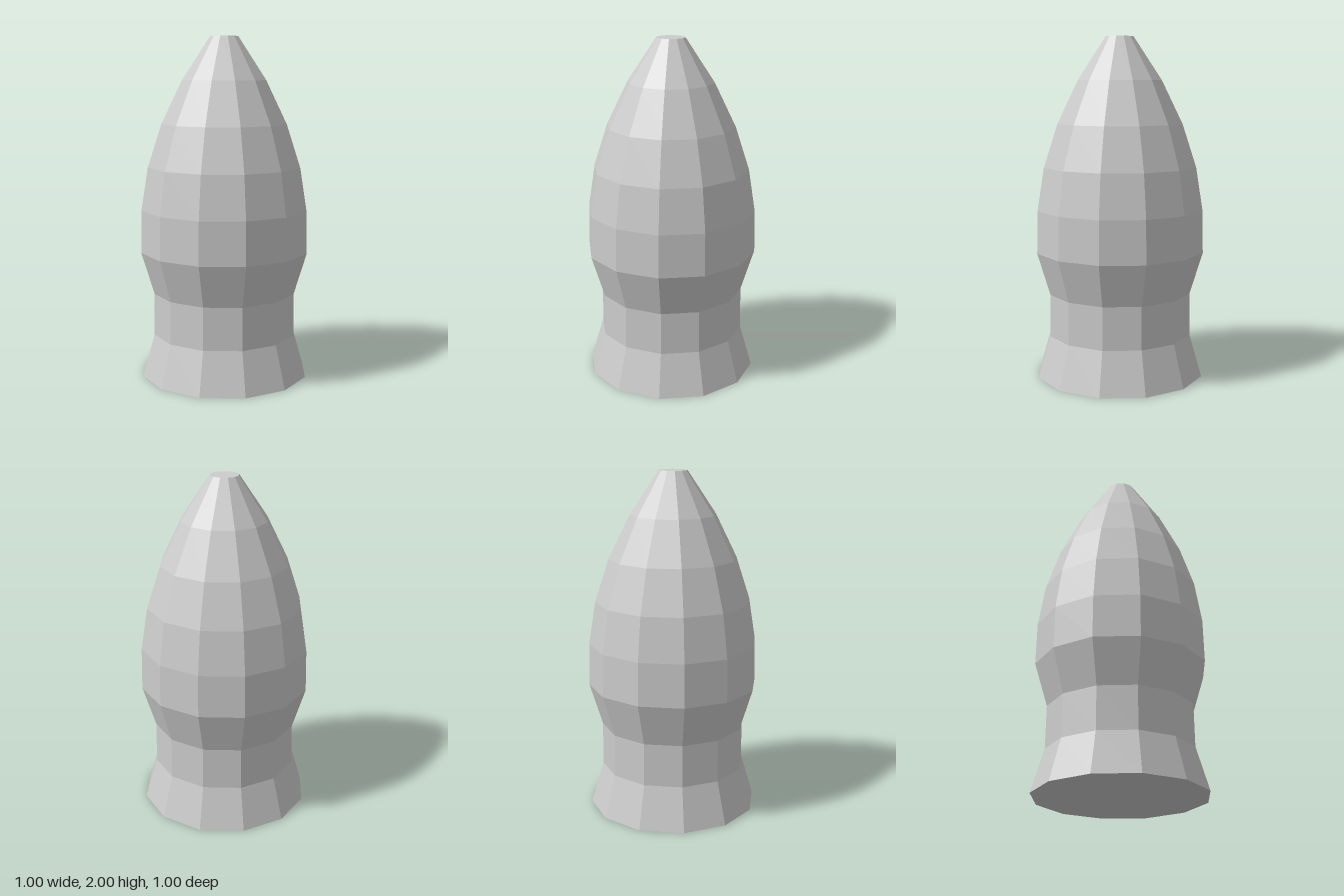
import * as THREE from 'three';

export function createModel() {
  const group = new THREE.Group();
  const sides = 12;

  // Ring radii, evenly spaced in height from the flared base to the blunt tip
  const radii = [0.5, 0.427, 0.424, 0.5, 0.495, 0.455, 0.373, 0.25, 0.083];
  const step = 2 / (radii.length - 1);
  const profile = radii.map((r, i) => new THREE.Vector2(r, i * step));

  const material = new THREE.MeshStandardMaterial({ color: 0xcccccc, flatShading: true });

  // Faceted body: flared foot, narrow waist and ogive nose
  const bodyGeometry = new THREE.LatheGeometry(profile, sides).toNonIndexed();
  bodyGeometry.computeVertexNormals();
  const body = new THREE.Mesh(bodyGeometry, material);
  body.name = 'body';
  group.add(body);

  // Flat caps closing the two ends
  const addCap = (name, radius, y, tilt) => {
    const cap = new THREE.Mesh(new THREE.CircleGeometry(radius, sides), material);
    cap.name = name;
    cap.rotation.x = tilt;
    cap.position.y = y;
    group.add(cap);
  };
  addCap('baseCap', radii[0], 0, Math.PI / 2);
  addCap('tipCap', radii[radii.length - 1], 2, -Math.PI / 2);

  return group;
}
